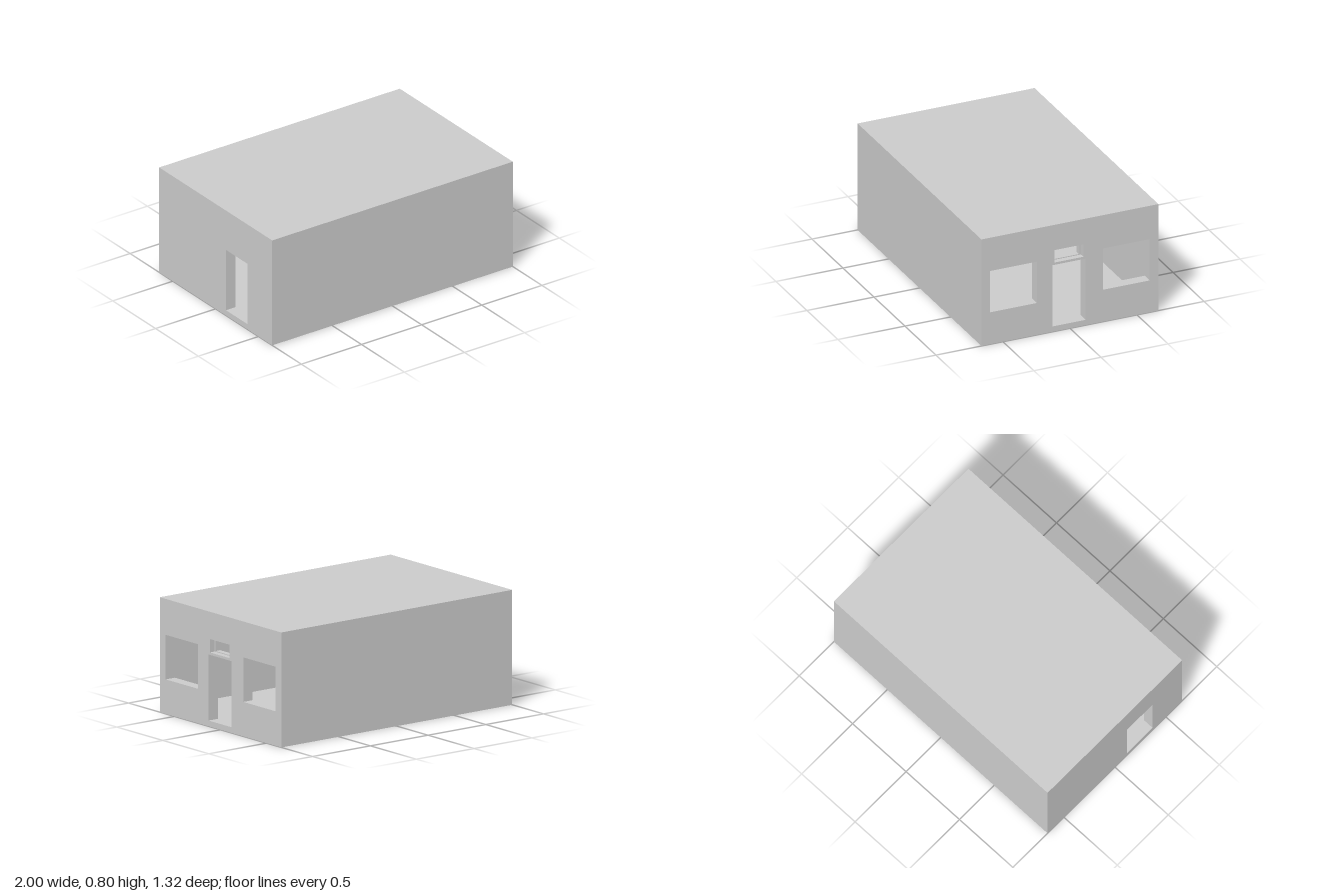
import * as THREE from 'three';

const LENGTH = 2, HEIGHT = 0.8, HALF_DEPTH = 0.66, WALL = 0.08;

const material = new THREE.MeshStandardMaterial({ color: 0xcccccc, flatShading: true });

// Trace a rectangle given as [zMin, zMax, yMin, yMax]
function trace(path, [z0, z1, y0, y1]) {
  path.moveTo(-z1, y0);
  path.lineTo(-z0, y0);
  path.lineTo(-z0, y1);
  path.lineTo(-z1, y1);
  path.closePath();
  return path;
}

// Rectangular slab in the z-y plane with openings, running along +x from x
function slab(name, outline, openings, x, thickness) {
  const shape = trace(new THREE.Shape(), outline);
  for (const o of openings) shape.holes.push(trace(new THREE.Path(), o));
  const geometry = new THREE.ExtrudeGeometry(shape, { depth: thickness, bevelEnabled: false });
  geometry.rotateY(Math.PI / 2);
  geometry.translate(x, 0, 0);
  const mesh = new THREE.Mesh(geometry, material);
  mesh.name = name;
  return mesh;
}

export function createModel() {
  const house = new THREE.Group();
  house.name = 'house';
  const section = [-HALF_DEPTH, HALF_DEPTH, 0, HEIGHT];
  const room = [-0.6, 0.6, 0.04, 0.72];
  const half = LENGTH / 2;

  // Floor, long walls and flat roof as one hollow section
  house.add(slab('floorWallsAndRoof', section, [room], -half + WALL, LENGTH - 2 * WALL));

  // Entrance wall: two windows, doorway and a small window above it
  const transom = [-0.1, 0.115, 0.517, 0.61];
  const entranceOpenings = [
    [0.247, 0.595, 0.24, 0.55],
    [-0.595, -0.247, 0.24, 0.55],
    [-0.117, 0.13, 0.04, 0.5],
    transom,
  ];
  house.add(slab('entranceWall', section, entranceOpenings, half - WALL, WALL));

  // Thin frame set back inside the small window
  const pane = [-0.086, 0.104, 0.523, 0.603];
  house.add(slab('transomFrame', transom, [pane], half - WALL, WALL / 2));

  // Opposite wall with a single offset doorway
  house.add(slab('rearDoorWall', section, [[0.12, 0.37, 0.04, 0.5]], -half, WALL));

  return house;
}
